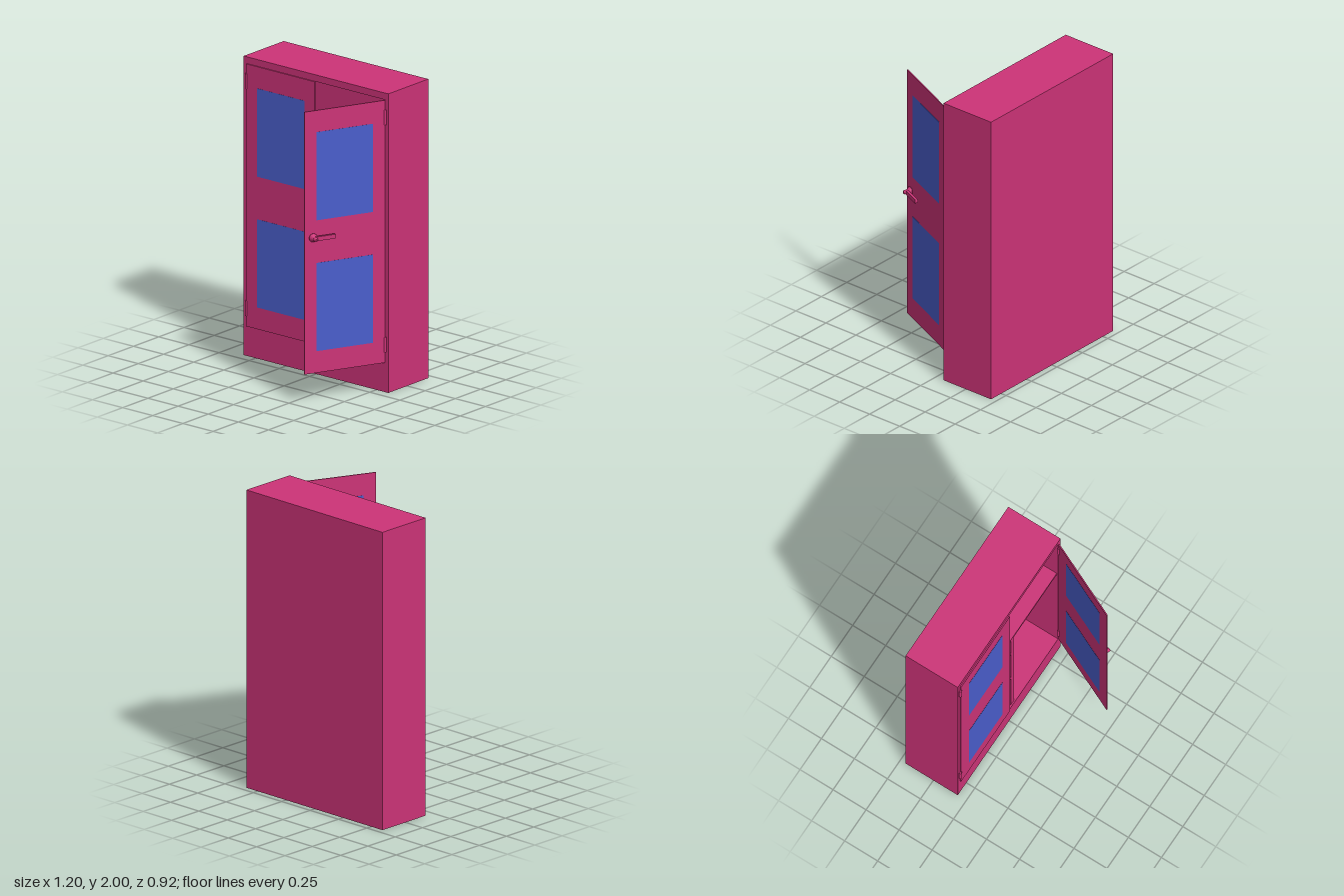
import * as THREE from 'three';

const pink = new THREE.MeshStandardMaterial({ color: 0xcc3377 });
const blue = new THREE.MeshStandardMaterial({ color: 0x4a5ecc });

function add(parent, name, geometry, material, x = 0, y = 0, z = 0) {
  const mesh = new THREE.Mesh(geometry, material);
  mesh.name = name;
  mesh.position.set(x, y, z);
  parent.add(mesh);
  return mesh;
}

// Box given by its minimum and maximum corners
function box(parent, name, [x0, y0, z0], [x1, y1, z1], material = pink) {
  const geometry = new THREE.BoxGeometry(x1 - x0, y1 - y0, z1 - z0);
  return add(parent, name, geometry, material, (x0 + x1) / 2, (y0 + y1) / 2, (z0 + z1) / 2);
}

function rect(path, x0, y0, x1, y1) {
  path.moveTo(x0, y0);
  path.lineTo(x1, y0);
  path.lineTo(x1, y1);
  path.lineTo(x0, y1);
  path.closePath();
  return path;
}

const FRONT = -0.065, BACK = -0.46, INNER = -0.44;
const FLOOR = 0.2, CEILING = 1.955, HALF = 0.572;

// Door hanging from its hinge line; side is the direction in which it extends
function makeDoor(name, side) {
  const door = new THREE.Group();
  door.name = name;
  const span = (a, b) => (side > 0 ? [a, b] : [-b, -a]);
  const [x0, x1] = span(0, 0.568);
  box(door, 'doorLeaf', [x0, FLOOR, 0], [x1, CEILING, 0.008]);
  const [p0, p1] = span(0.088, 0.483);
  for (const [y0, y1] of [[0.345, 0.935], [1.22, 1.81]]) {
    box(door, 'doorPanel', [p0, y0, -0.001], [p1, y1, 0.009], blue);
  }
  return door;
}

// Lever handle standing out from the door along +z, lever pointing to +x
function makeHandle() {
  const handle = new THREE.Group();
  handle.name = 'handle';
  const profile = [[0, 0], [0.028, 0], [0.028, 0.008], [0.022, 0.016], [0.015, 0.028],
    [0.013, 0.03], [0.013, 0.05], [0, 0.05]].map(([r, h]) => new THREE.Vector2(r, h));
  const rose = add(handle, 'handleRose', new THREE.LatheGeometry(profile, 24), pink);
  rose.rotation.x = Math.PI / 2;
  const lever = new THREE.Shape();
  lever.moveTo(0, -0.014);
  lever.lineTo(0.138, -0.014);
  lever.quadraticCurveTo(0.146, -0.014, 0.146, -0.006);
  lever.lineTo(0.146, 0.006);
  lever.quadraticCurveTo(0.146, 0.014, 0.138, 0.014);
  lever.lineTo(0, 0.014);
  lever.absarc(0, 0, 0.014, Math.PI / 2, Math.PI * 1.5, false);
  add(handle, 'handleLever',
    new THREE.ExtrudeGeometry(lever, { depth: 0.018, bevelEnabled: false }), pink, 0, 0, 0.02);
  return handle;
}

export function createModel() {
  const model = new THREE.Group();
  model.name = 'wardrobe';

  // Carcass: frame around the opening, closed by a back board
  const outline = rect(new THREE.Shape(), -0.6, 0, 0.6, 2);
  outline.holes.push(rect(new THREE.Path(), -HALF, FLOOR, HALF, CEILING));
  add(model, 'carcass',
    new THREE.ExtrudeGeometry(outline, { depth: FRONT - INNER, bevelEnabled: false }),
    pink, 0, 0, INNER);
  box(model, 'backBoard', [-0.6, 0, BACK], [0.6, 2, INNER]);

  // Interior shelves and divider
  const shelfFront = FRONT - 0.01;
  box(model, 'topShelf', [-HALF, 1.38, INNER], [HALF, 1.403, shelfFront]);
  box(model, 'divider', [0.035, FLOOR, INNER], [0.075, 1.38, shelfFront]);
  for (const y of [0.685, 1.132]) {
    box(model, 'sideShelf', [-HALF, y, INNER], [0.035, y + 0.024, shelfFront]);
  }

  // Closed door and open door
  const closedDoor = makeDoor('closedDoor', 1);
  closedDoor.position.set(-0.572, 0, FRONT);
  model.add(closedDoor);

  const openDoor = makeDoor('openDoor', -1);
  openDoor.position.set(0.572, 0, -0.062);
  openDoor.rotation.y = THREE.MathUtils.degToRad(65.5);
  const handle = makeHandle();
  handle.position.set(-0.509, 1.108, 0.008);
  openDoor.add(handle);
  model.add(openDoor);

  // Hinge barrels
  for (const x of [-0.574, 0.574]) {
    for (const y of [0.32, 1.84]) {
      add(model, 'hinge', new THREE.CylinderGeometry(0.01, 0.01, 0.1, 16), pink, x, y, -0.061);
    }
  }
  return model;
}
